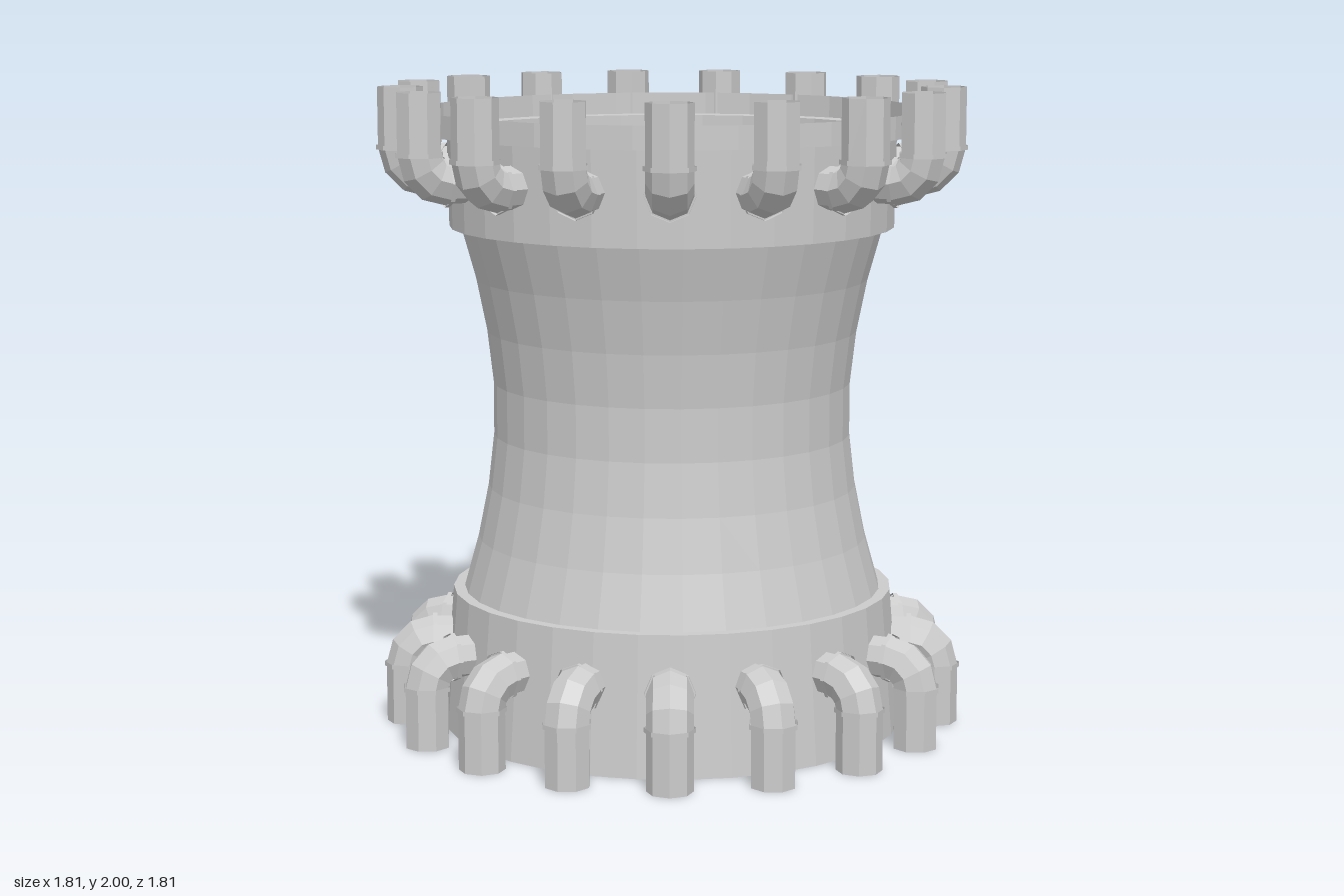
import * as THREE from 'three';

const SIDES = 32, PIPES = 17, PIPE_R = 0.07, BEND = 0.085;
const PIPE_X = 0.835, PIPE_Y = 0.27;

export function createModel() {
  const model = new THREE.Group();
  model.name = 'flaredTowerWithPipes';
  const mat = new THREE.MeshStandardMaterial({ color: 0xcccccc, flatShading: true, side: THREE.DoubleSide });

  function add(parent, name, geometry) {
    const mesh = new THREE.Mesh(geometry, mat);
    mesh.name = name;
    parent.add(mesh);
    return mesh;
  }
  const lathe = (points) => new THREE.LatheGeometry(points.map(([r, y]) => new THREE.Vector2(r, y)), SIDES);

  // Waisted body, open at both ends
  const body = [];
  for (let i = 0; i <= 7; i++) {
    const t = (i / 7) * 2 - 1;
    body.push([0.555 + 0.1 * Math.pow(Math.abs(t), 1.8), 1 + 0.57 * t]);
  }
  add(model, 'body', lathe(body));

  // Thin-walled skirt and crown, each stepping out from the body
  add(model, 'bottomBand', lathe([[0.725, 0], [0.69, 0.43], [0.655, 0.43]]));
  add(model, 'topBand', lathe([[0.655, 1.57], [0.69, 1.57], [0.695, 1.86], [0.77, 1.86], [0.77, 1.93]]));

  // Pipe parts: upright, elbow, stub through the wall, collars at the joints
  const bendX = PIPE_X - BEND, bendY = PIPE_Y - BEND;
  const upright = new THREE.CylinderGeometry(PIPE_R, PIPE_R, bendY, 8, 1, true).translate(PIPE_X, bendY / 2, 0);
  const elbow = new THREE.TorusGeometry(BEND, PIPE_R, 8, 3, Math.PI / 2).translate(bendX, bendY, 0);
  const stubEnd = 0.665;
  const stub = new THREE.CylinderGeometry(PIPE_R - 0.005, PIPE_R - 0.005, bendX - stubEnd, 8, 1, true)
    .rotateZ(Math.PI / 2).translate((bendX + stubEnd) / 2, PIPE_Y, 0);
  const collar = () => new THREE.CylinderGeometry(PIPE_R + 0.006, PIPE_R + 0.006, 0.014, 8, 1, true);
  const lowCollar = collar().translate(PIPE_X, bendY, 0);
  const wallCollar = collar().rotateZ(Math.PI / 2).translate(bendX, PIPE_Y, 0);

  function pipeRing(name) {
    const ring = new THREE.Group();
    ring.name = name;
    for (let i = 0; i < PIPES; i++) {
      const pipe = new THREE.Group();
      pipe.name = 'pipe';
      add(pipe, 'upright', upright);
      add(pipe, 'elbow', elbow);
      add(pipe, 'stub', stub);
      add(pipe, 'uprightCollar', lowCollar);
      add(pipe, 'wallCollar', wallCollar);
      pipe.rotation.y = Math.PI / 2 + (i / PIPES) * Math.PI * 2;
      ring.add(pipe);
    }
    model.add(ring);
    return ring;
  }

  pipeRing('bottomPipes');
  // Same ring turned upside down at the top
  const top = pipeRing('topPipes');
  top.rotation.z = Math.PI;
  top.position.y = 2;

  return model;
}
